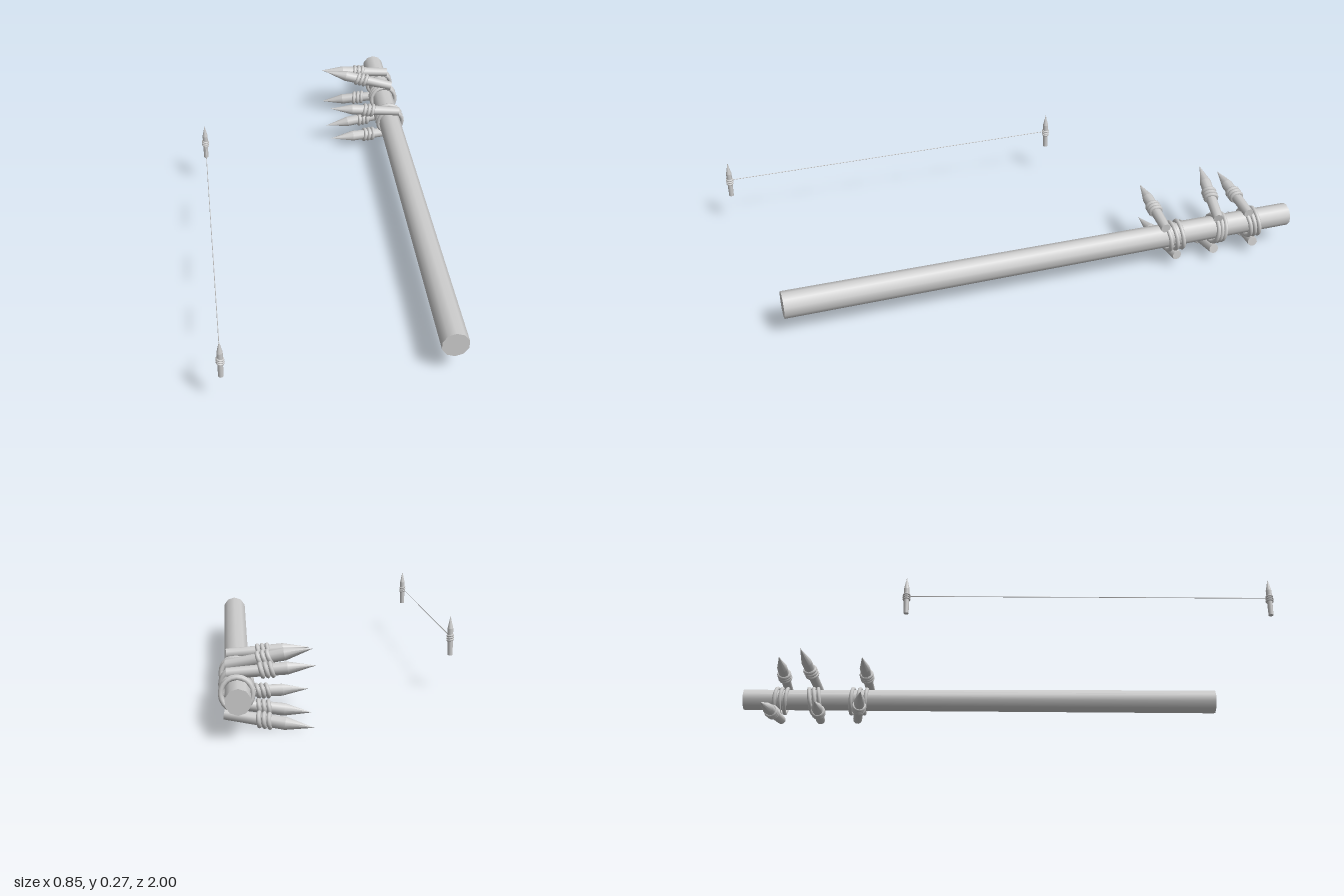
import * as THREE from 'three';

const material = new THREE.MeshStandardMaterial({ color: 0xcccccc });

function part(name, geometry, parent) {
  const mesh = new THREE.Mesh(geometry, material);
  mesh.name = name;
  parent.add(mesh);
  return mesh;
}

// Sharpened stake with three rope turns, one size for all: base at the origin, tip up +y
const LENGTH = 0.287;
function stake(name, base, tip) {
  const group = new THREE.Group();
  group.name = name;
  const shaftLength = 0.195;
  part('shaft', new THREE.CylinderGeometry(0.021, 0.018, shaftLength, 10), group)
    .position.y = shaftLength / 2;
  const point = LENGTH - shaftLength;
  part('point', new THREE.CylinderGeometry(0, 0.021, point, 10, 1, true), group)
    .position.y = shaftLength + point / 2;
  for (let i = -1; i <= 1; i++) {
    const geometry = new THREE.TorusGeometry(0.021, 0.0075, 8, 16).rotateX(Math.PI / 2).rotateZ(-0.2);
    part('stakeRope', geometry, group).position.y = 0.128 + i * 0.0165;
  }
  const from = new THREE.Vector3(...base);
  const along = new THREE.Vector3(...tip).sub(from);
  group.position.copy(from);
  group.scale.setScalar(along.length() / LENGTH);
  group.quaternion.setFromUnitVectors(new THREE.Vector3(0, 1, 0), along.normalize());
  return group;
}

export function createModel() {
  const model = new THREE.Group();
  model.name = 'spikedLogTrap';

  // Tapered log lying along z
  const logX = 0.36, logY = 0.123;
  const log = new THREE.CylinderGeometry(0.048, 0.042, 1.915, 10).rotateX(Math.PI / 2);
  part('log', log, model).position.set(logX, logY, -0.0425);

  // Stakes lashed above and below the log
  const stakes = [
    ['upperStake', [0.395, 0.178, -0.49], [0.11, 0.2, -0.505]],
    ['upperStake', [0.395, 0.18, -0.70], [0.115, 0.24, -0.75]],
    ['upperStake', [0.395, 0.178, -0.825], [0.11, 0.2, -0.83]],
    ['lowerStake', [0.402, 0.055, -0.54], [0.115, 0.055, -0.505]],
    ['lowerStake', [0.402, 0.053, -0.69], [0.115, 0.012, -0.68]],
    ['lowerStake', [0.402, 0.053, -0.85], [0.12, 0.012, -0.89]],
  ];
  for (const [name, base, tip] of stakes) model.add(stake(name, base, tip));

  // Rope bindings around the log: centre z, spacing, tilt
  for (const [z, gap, tilt] of [[-0.533, 0.027, 0.1], [-0.712, 0.017, -0.12], [-0.848, 0.02, 0.12]]) {
    for (let i = -1; i <= 1; i++) {
      const ring = part('logRope', new THREE.TorusGeometry(0.051, 0.008, 8, 20), model);
      ring.position.set(logX + 0.003, logY - 0.003, z + i * gap);
      ring.rotation.set(tilt, 0.05 * i, 0);
    }
  }

  // Two small pegs joined by the trip line
  const pegX = -0.41, front = 0.985, back = -0.305;
  for (const z of [front, back]) model.add(stake('peg', [pegX, 0.127, z], [pegX, 0.27, z]));
  const line = new THREE.CylinderGeometry(0.0015, 0.0015, front - back, 6).rotateX(Math.PI / 2);
  part('tripLine', line, model).position.set(pegX, 0.195, (front + back) / 2);

  return model;
}
